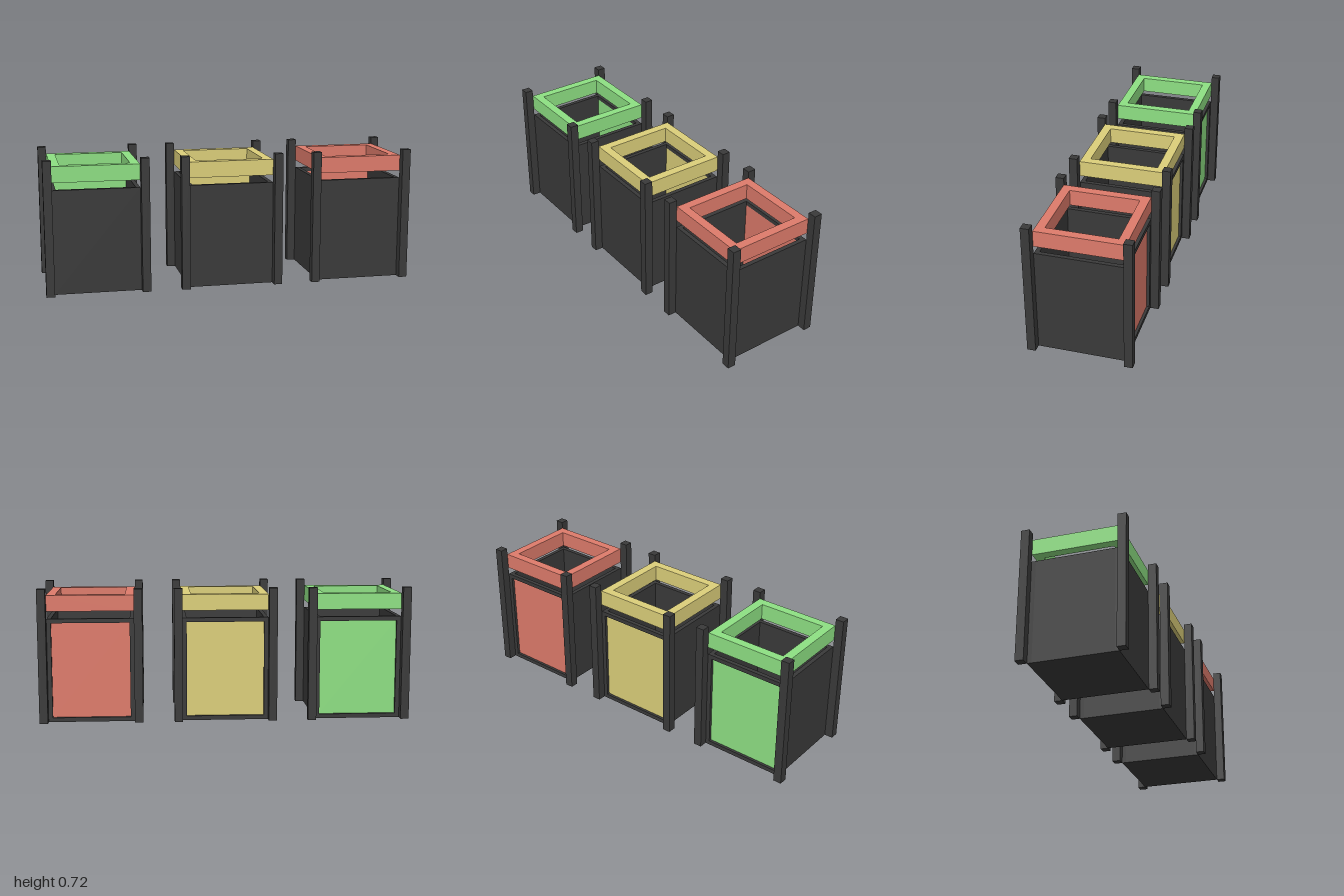
import * as THREE from 'three';

const HALF = 0.232;   // half width of a bin body
const POST = 0.045;   // post thickness
const POST_H = 0.722;
const BODY_H = 0.56;
const WALL = 0.023;
const RIM_Y = 0.6, RIM_H = 0.086, RIM_IN = 0.185;
const RECESS = 0.015;

const dark = new THREE.MeshStandardMaterial({ color: 0x3a3a3a });

function add(parent, name, geometry, material, x = 0, y = 0, z = 0) {
  const mesh = new THREE.Mesh(geometry, material);
  mesh.name = name;
  mesh.position.set(x, y, z);
  parent.add(mesh);
  return mesh;
}

const box = (w, h, d) => new THREE.BoxGeometry(w, h, d);

// Rectangular frame with a rectangular opening, extruded along z
function frame(w, h, holeW, holeH, depth) {
  const rect = (Type, a, b) => {
    const r = new Type();
    r.moveTo(-a / 2, -b / 2);
    r.lineTo(a / 2, -b / 2);
    r.lineTo(a / 2, b / 2);
    r.lineTo(-a / 2, b / 2);
    r.closePath();
    return r;
  };
  const shape = rect(THREE.Shape, w, h);
  shape.holes.push(rect(THREE.Path, holeW, holeH));
  return new THREE.ExtrudeGeometry(shape, { depth, bevelEnabled: false });
}

function createBin(color) {
  const bin = new THREE.Group();
  const tint = new THREE.MeshStandardMaterial({ color });
  const W = HALF * 2;
  const openW = W - 2 * WALL, openH = BODY_H - 2 * WALL;

  // Open-topped body
  add(bin, 'floor', box(openW, WALL, openW), dark, 0, WALL / 2, 0);
  add(bin, 'frontWall', box(W, BODY_H, WALL), dark, 0, BODY_H / 2, HALF - WALL / 2);
  for (const s of [-1, 1]) {
    add(bin, s > 0 ? 'leftWall' : 'rightWall', box(WALL, BODY_H, openW), dark,
      s * (HALF - WALL / 2), BODY_H / 2, 0);
  }

  // Back frame holding a recessed coloured panel
  add(bin, 'backFrame', frame(W, BODY_H, openW, openH, WALL), dark, 0, BODY_H / 2, -HALF);
  const panelD = WALL - RECESS;
  add(bin, 'backPanel', box(openW, openH, panelD), tint, 0, BODY_H / 2, -HALF + RECESS + panelD / 2);

  // Corner posts
  const p = HALF + POST / 2;
  for (const sx of [-1, 1]) {
    for (const sz of [-1, 1]) {
      add(bin, 'post', box(POST, POST_H, POST), dark, sx * p, POST_H / 2, sz * p);
    }
  }

  // Coloured rim raised above the body
  const rim = add(bin, 'rim', frame(W, W, RIM_IN * 2, RIM_IN * 2, RIM_H), tint, 0, RIM_Y, 0);
  rim.rotation.x = -Math.PI / 2;
  return bin;
}

export function createModel() {
  const model = new THREE.Group();
  model.name = 'sortingBins';
  const bins = [
    ['greenBin', 0x8ee083, -0.723],
    ['yellowBin', 0xdccf7a, 0],
    ['redBin', 0xde7b6b, 0.723],
  ];
  for (const [name, color, x] of bins) {
    const bin = createBin(color);
    bin.name = name;
    bin.position.x = x;
    model.add(bin);
  }
  return model;
}
